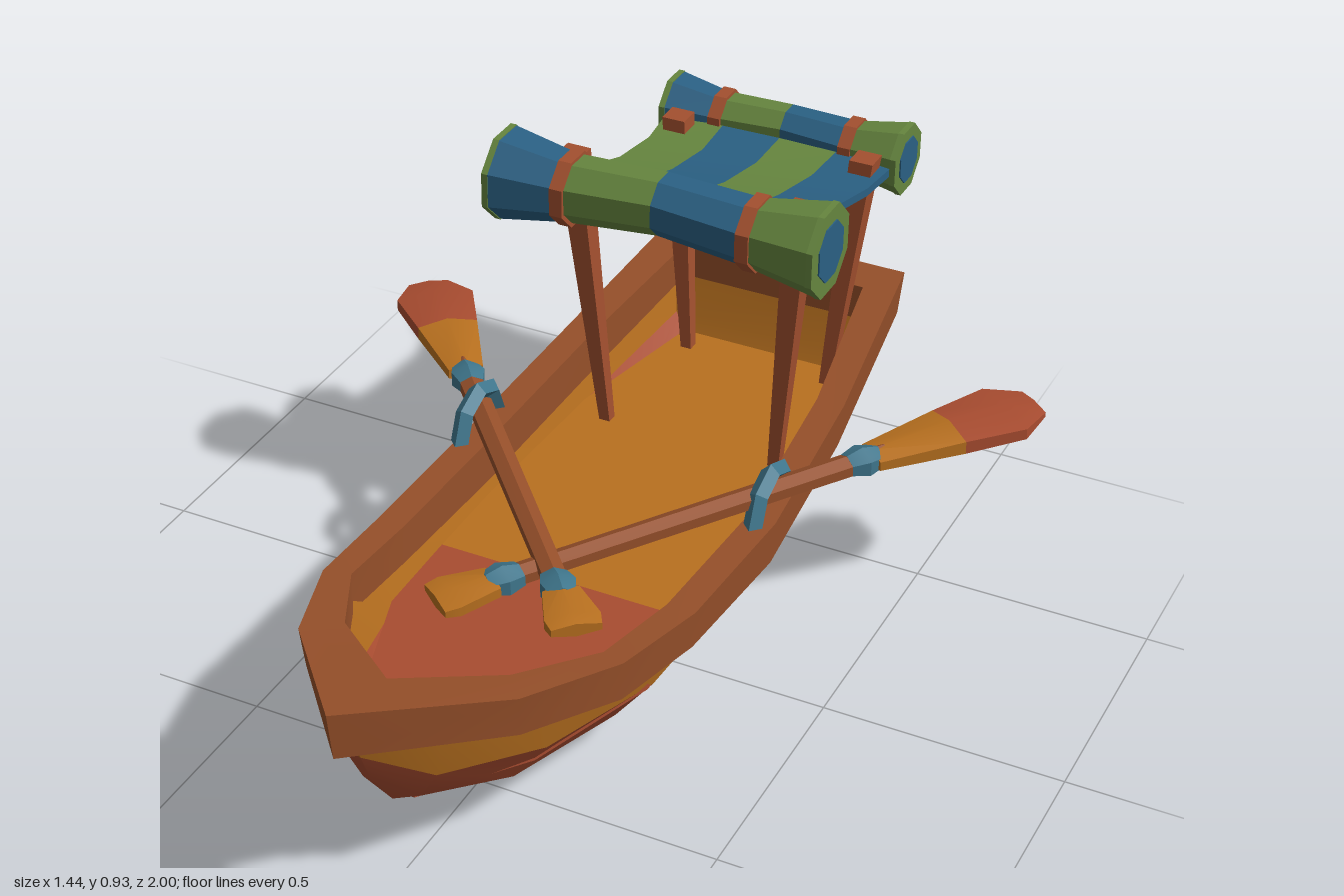
import * as THREE from 'three';
import { toCreasedNormals } from 'three/addons/utils/BufferGeometryUtils.js';

const V = (x, y, z) => new THREE.Vector3(x, y, z);
const COLORS = {
  brown: 0x96502a, orange: 0xb8701f, red: 0xa84c30, post: 0xa3502f,
  blue: 0x2a6083, green: 0x66863f, teal: 0x3f768c,
};

function mesh(name, geometry, color, doubleSided = false) {
  const material = new THREE.MeshStandardMaterial({ color: COLORS[color] });
  if (doubleSided) material.side = THREE.DoubleSide;
  const m = new THREE.Mesh(toCreasedNormals(geometry, 0.5), material);
  m.name = name;
  return m;
}

// Skin a list of cross-sections; the winding is turned so that faces point outward.
function loft(rings, { closed = true, loop = false, caps = false } = {}) {
  const tris = [];
  const count = rings.length, n = rings[0].length;
  for (let i = 0; i < (loop ? count : count - 1); i++) {
    const a = rings[i], b = rings[(i + 1) % count];
    for (let j = 0; j < (closed ? n : n - 1); j++) {
      const k = (j + 1) % n;
      tris.push([a[j], a[k], b[k]], [a[j], b[k], b[j]]);
    }
  }
  if (caps) {
    const a = rings[0], b = rings[count - 1];
    for (let j = 1; j < n - 1; j++) tris.push([a[0], a[j + 1], a[j]], [b[0], b[j], b[j + 1]]);
  }
  const mid = V(0, 0, 0);
  rings.flat().forEach(p => mid.addScaledVector(p, 1 / (count * n)));
  let volume = 0;
  for (const [p, q, r] of tris) {
    volume += p.clone().sub(mid).dot(q.clone().sub(mid).cross(r.clone().sub(mid)));
  }
  if (volume < 0) tris.forEach(t => t.reverse());
  return new THREE.BufferGeometry().setFromPoints(tris.flat());
}

const polygon = (n, fn) => Array.from({ length: n }, (_, i) => {
  const a = (i + 0.5) / n * Math.PI * 2;
  return fn(Math.cos(a), Math.sin(a));
});

// Elliptical body along z from [z, radiusX, radiusY] stations
const body = (stations, n) => loft(
  stations.map(([z, rx, ry]) => polygon(n, (c, s) => V(c * rx, s * ry, z))), { caps: true });

// Flat floor from [half width, z] points
function floorSlab(name, half, color) {
  const outline = [...half, ...half.map(([x, z]) => [-x, z]).reverse()];
  const slab = new THREE.ExtrudeGeometry(
    new THREE.Shape(outline.map(p => new THREE.Vector2(...p))), { depth: 0.02, bevelEnabled: false });
  slab.rotateX(Math.PI / 2).translate(0, 0.21, 0);
  return mesh(name, slab, color);
}

function makeHull() {
  const hull = new THREE.Group();
  hull.name = 'hull';
  // Stations of [x, y, z]: keel, chine, bilge, top edge
  const stations = [
    [[0, 0.07, -0.78], [0.15, 0.14, -0.83], [0.23, 0.24, -0.87], [0.25, 0.38, -0.9]],
    [[0, 0.035, -0.5], [0.19, 0.075, -0.5], [0.275, 0.2, -0.5], [0.3, 0.33, -0.5]],
    [[0, 0, -0.1], [0.2, 0.055, -0.1], [0.285, 0.17, -0.1], [0.315, 0.29, -0.1]],
    [[0, 0.035, 0.3], [0.2, 0.085, 0.3], [0.28, 0.19, 0.3], [0.31, 0.31, 0.3]],
    [[0, 0.1, 0.6], [0.14, 0.135, 0.6], [0.21, 0.23, 0.6], [0.245, 0.37, 0.6]],
    [[0, 0.18, 0.8], [0.06, 0.21, 0.8], [0.1, 0.28, 0.81], [0.13, 0.42, 0.82]],
    [[0, 0.24, 0.84], [0, 0.28, 0.87], [0, 0.35, 0.9], [0, 0.46, 0.93]],
  ].map(s => s.map(p => V(...p)));
  const flip = p => V(-p.x, p.y, p.z);
  const open = { closed: false };
  hull.add(mesh('hullBottom', loft(stations.map(
    ([k, c, b]) => [flip(b), flip(c), k, c, b]), open), 'red', true));
  for (const side of [1, -1]) {
    hull.add(mesh('hullSide', loft(stations.map(
      s => s.slice(2).map(p => side > 0 ? p : flip(p))), open), 'orange', true));
  }
  // Flat stern board
  hull.add(mesh('transom', loft(stations[0].map(p => [flip(p), p]), open), 'orange', true));
  hull.add(floorSlab('bowFloor', [[0.283, 0.11], [0.278, 0.32], [0.185, 0.6], [0.04, 0.79]], 'red'));
  hull.add(floorSlab('sternFloor', [[0.2, -0.85], [0.27, -0.5], [0.285, -0.1], [0.283, 0.11]], 'orange'));
  return hull;
}

// Thick gunwale running round the whole boat
function makeRim() {
  // outer x, outer z, inner x, inner z, top y, bottom y, inner top y
  const half = [
    [0.275, -0.945, 0.21, -0.87, 0.435, 0.34, 0.42],
    [0.325, -0.5, 0.265, -0.5, 0.365, 0.27, 0.365],
    [0.35, -0.1, 0.29, -0.1, 0.33, 0.235, 0.33],
    [0.342, 0.25, 0.283, 0.25, 0.345, 0.26, 0.345],
    [0.315, 0.5, 0.265, 0.48, 0.39, 0.3, 0.385],
    [0.225, 0.73, 0.17, 0.66, 0.44, 0.35, 0.425],
    [0, 1, 0, 0.8, 0.515, 0.41, 0.455],
  ];
  const path = [...half, ...half.slice(0, -1).reverse().map(([a, b, c, ...r]) => [-a, b, -c, ...r])];
  return mesh('rim', loft(path.map(([ox, oz, ix, iz, top, bottom, innerTop]) => [
    V(ox, top, oz), V(ox * 0.98, bottom, oz * 0.985), V(ix, bottom, iz), V(ix, innerTop, iz),
  ]), { loop: true }), 'brown');
}

// Rolled cloth with flared ends, two straps and coloured panels
function makeRoll(name, y, z, halfWidth, strapX, endR, strapR, midR, lift) {
  const g = new THREE.Group();
  g.name = name;
  const ring = (x, r, up = 0) => polygon(8, (c, s) => V(x, y + up + s * r, z + c * r));
  const rings = [ring(-halfWidth, endR), ring(-strapX, strapR), ring(0, midR, lift),
    ring(strapX, strapR), ring(halfWidth, endR)];
  for (let i = 0; i < 4; i++) {
    g.add(mesh('rollPanel', loft([rings[i], rings[i + 1]], { caps: true }), i % 2 ? 'green' : 'blue'));
  }
  for (const side of [1, -1]) {
    g.add(mesh('strap', loft([-0.014, 0.014].map(
      d => ring(side * strapX + d, strapR + 0.008)), { caps: true }), 'post'));
    g.add(mesh('rollRing', loft([halfWidth - 0.01, halfWidth + 0.003].map(
      x => ring(side * x, endR)), { caps: true }), 'green'));
    g.add(mesh('rollCore', loft([halfWidth - 0.01, halfWidth + 0.006].map(
      x => ring(side * x, endR * 0.65)), { caps: true }), 'blue'));
  }
  return g;
}

function makeCanopy() {
  const g = new THREE.Group();
  g.name = 'canopy';
  // Sagging cloth in striped panels: z, y, half width
  const sag = [[-0.34, 0.83, 0.255], [-0.43, 0.805, 0.245], [-0.6, 0.75, 0.24],
    [-0.76, 0.718, 0.25], [-0.9, 0.72, 0.265]];
  for (let i = 0; i < 4; i++) {
    const strip = sag.map(([z, y, w]) => {
      const a = (i / 2 - 1) * w, b = (i / 2 - 0.5) * w;
      return [V(a, y + 0.008, z), V(b, y + 0.008, z), V(b, y - 0.01, z), V(a, y - 0.01, z)];
    });
    g.add(mesh('clothPanel', loft(strip, { caps: true }), i % 2 ? 'blue' : 'green'));
  }
  g.add(makeRoll('frontRoll', 0.84, -0.305, 0.352, 0.2, 0.097, 0.07, 0.064, 0.014));
  g.add(makeRoll('rearRoll', 0.72, -0.925, 0.27, 0.15, 0.078, 0.056, 0.052, 0.008));
  // Tapered square posts: foot, top
  const post = (foot, top) => mesh('post', loft([[foot, 0.012], [top, 0.026]].map(([p, r]) =>
    polygon(4, (c, s) => V(p.x + c * r * 1.414, p.y, p.z + s * r * 1.414))), { caps: true }), 'post');
  for (const s of [1, -1]) {
    g.add(post(V(s * 0.195, 0.2, -0.455), V(s * 0.25, 0.86, -0.41)));
    g.add(post(V(s * 0.165, 0.2, -0.795), V(s * 0.215, 0.755, -0.83)));
  }
  return g;
}

function makeOar(name, handle, tip) {
  const g = new THREE.Group();
  g.name = name;
  const L = handle.distanceTo(tip);
  const collar = z => mesh('collar', body(
    [[z - 0.035, 0.028, 0.022], [z, 0.04, 0.031], [z + 0.035, 0.03, 0.022]], 6), 'teal');
  g.add(
    mesh('shaft', body([[0.1, 0.026, 0.02], [L - 0.35, 0.028, 0.022]], 6), 'brown'),
    mesh('grip', body([[0, 0.056, 0.014], [0.03, 0.062, 0.02], [0.12, 0.042, 0.02]], 6), 'orange'),
    mesh('bladeRoot', body([[L - 0.38, 0.042, 0.02], [L - 0.2, 0.074, 0.028]], 6), 'orange'),
    mesh('bladeTip', body([[L - 0.2, 0.074, 0.028], [L - 0.07, 0.096, 0.024], [L, 0.05, 0.01]], 6), 'red'),
    collar(0.14), collar(L - 0.4),
  );
  g.position.copy(handle);
  g.lookAt(tip);
  return g;
}

export function createModel() {
  const model = new THREE.Group();
  model.name = 'rowingBoat';
  const boat = new THREE.Group();
  boat.name = 'boatBody';
  boat.position.x = -0.01;
  boat.add(makeHull(), makeRim(), makeCanopy());
  // Arched oarlocks on the rim
  for (const side of [1, -1]) {
    const lock = mesh('oarlock', new THREE.TorusGeometry(0.078, 0.02, 4, 4, Math.PI), 'teal');
    lock.rotation.y = Math.PI / 2;
    lock.position.set(side * 0.325, 0.35, -0.125);
    boat.add(lock);
  }
  model.add(boat);
  model.add(makeOar('leftOar', V(-0.11, 0.36, 0.455), V(0.685, 0.42, -0.6)));
  model.add(makeOar('rightOar', V(0.185, 0.39, 0.45), V(-0.685, 0.365, -0.54)));
  return model;
}
